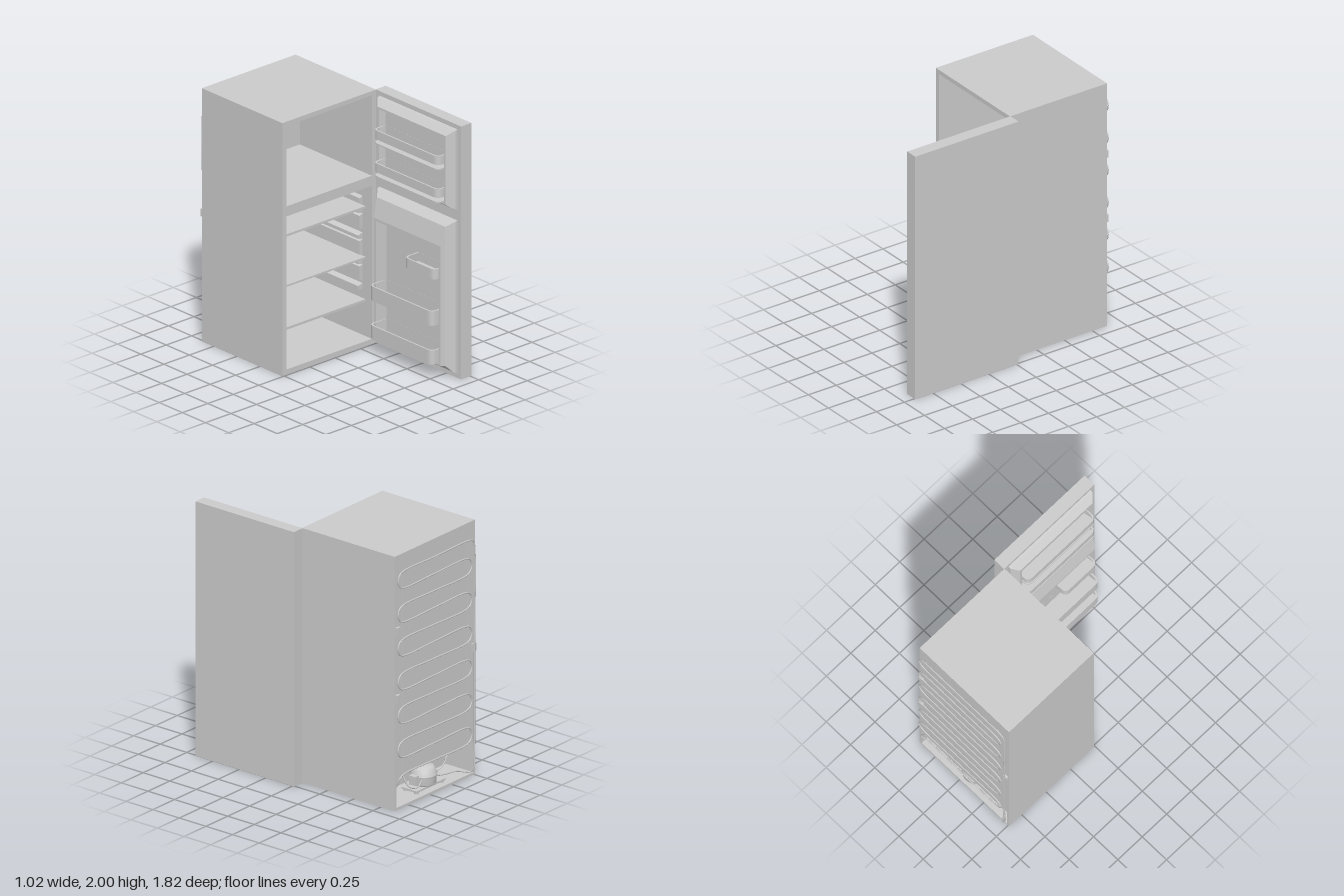
import * as THREE from 'three';

const grey = new THREE.MeshStandardMaterial({ color: 0xcccccc });
const greyFlat = new THREE.MeshStandardMaterial({ color: 0xcccccc, flatShading: true, side: THREE.DoubleSide });
const v = (x, y, z) => new THREE.Vector3(x, y, z);

function add(parent, name, geometry, material = grey) {
  const mesh = new THREE.Mesh(geometry, material);
  mesh.name = name;
  parent.add(mesh);
  return mesh;
}

// box given by its two extreme corners
function box(parent, name, x0, x1, y0, y1, z0, z1) {
  const g = new THREE.BoxGeometry(x1 - x0, y1 - y0, z1 - z0);
  g.translate((x0 + x1) / 2, (y0 + y1) / 2, (z0 + z1) / 2);
  return add(parent, name, g);
}

const polygon = (pts) => new THREE.Shape(pts.map(([a, b]) => new THREE.Vector2(a, b)));
const extrude = (shape, depth) => new THREE.ExtrudeGeometry(shape, { depth, bevelEnabled: false, curveSegments: 8 });

// (z, y) profile swept across x
function sweepX(parent, name, pts, x0, x1) {
  const g = extrude(polygon(pts), x1 - x0);
  g.rotateY(-Math.PI / 2).translate(x1, 0, 0);
  return add(parent, name, g);
}

// (x, z) outline raised from y0 to y1
function raise(parent, name, shape, y0, y1) {
  const g = extrude(shape, y1 - y0);
  g.rotateX(Math.PI / 2).translate(0, y1, 0);
  return add(parent, name, g);
}

function pipe(parent, name, pts, radius = 0.006, segments = 40) {
  const curve = new THREE.CatmullRomCurve3(pts, false, 'centripetal');
  return add(parent, name, new THREE.TubeGeometry(curve, segments, radius, 6));
}

// rectangular rings [x, y0, y1, z0, z1] joined in order, last one closed
function loftRings(parent, name, rings) {
  const pos = [], idx = [];
  rings.forEach(([x, y0, y1, z0, z1], r) => {
    pos.push(x, y0, z0, x, y0, z1, x, y1, z1, x, y1, z0);
    for (let i = 0; r > 0 && i < 4; i++) {
      const a = (r - 1) * 4 + i, b = (r - 1) * 4 + (i + 1) % 4;
      idx.push(a, b, b + 4, a, b + 4, a + 4);
    }
  });
  const n = (rings.length - 1) * 4;
  idx.push(n, n + 1, n + 2, n, n + 2, n + 3);
  const g = new THREE.BufferGeometry();
  g.setAttribute('position', new THREE.Float32BufferAttribute(pos, 3));
  g.setIndex(idx);
  const flat = g.toNonIndexed();
  flat.computeVertexNormals();
  return add(parent, name, flat, greyFlat);
}

// outline of a door tray with two rounded front corners
function trayOutline(Type, x0, x1, z0, z1, r) {
  const s = new Type();
  s.moveTo(x1, z0);
  s.lineTo(x0 + r, z0);
  s.quadraticCurveTo(x0, z0, x0, z0 + r);
  s.lineTo(x0, z1 - r);
  s.quadraticCurveTo(x0, z1, x0 + r, z1);
  s.lineTo(x1, z1);
  s.closePath();
  return s;
}

function doorTray(parent, x0, y0, y1, z0, z1, floorY) {
  const tray = new THREE.Group();
  tray.name = 'doorTray';
  const wall = trayOutline(THREE.Shape, x0, 0.4, z0, z1, 0.05);
  wall.holes.push(trayOutline(THREE.Path, x0 + 0.012, 0.394, z0 + 0.012, z1 - 0.012, 0.042));
  raise(tray, 'trayRail', wall, y0, y1);
  raise(tray, 'trayFloor', trayOutline(THREE.Shape, x0, 0.4, z0, z1, 0.05), floorY, floorY + 0.01);
  parent.add(tray);
}

function buildCabinet() {
  const c = new THREE.Group();
  c.name = 'cabinet';
  box(c, 'rightWall', -0.51, -0.49, 0, 2, -0.88, -0.01);
  box(c, 'leftWall', 0.39, 0.41, 0, 2, -0.88, -0.01);
  box(c, 'roof', -0.49, 0.39, 1.965, 2, -0.88, -0.01);
  box(c, 'base', -0.49, 0.39, 0, 0.02, -0.88, -0.01);
  box(c, 'innerFloor', -0.49, 0.39, 0.02, 0.04, -0.62, -0.01);
  box(c, 'divider', -0.49, 0.39, 1.25, 1.33, -0.8, -0.01);
  // back wall with the step over the machine niche
  sweepX(c, 'backWall', [[-0.88, 0.26], [-0.68, 0.23], [-0.62, 0.17], [-0.62, 0.02], [-0.58, 0.02],
    [-0.58, 0.2], [-0.65, 0.3], [-0.79, 0.3], [-0.79, 1.97], [-0.88, 1.97]], -0.49, 0.39);
  const liner = [[-0.01, 0.02], [-0.6, 0.02], [-0.6, 0.2], [-0.68, 0.27], [-0.8, 0.27], [-0.8, 1.97], [-0.01, 1.97]];
  sweepX(c, 'rightLiner', liner, -0.49, -0.47);
  sweepX(c, 'leftLiner', liner, 0.37, 0.39);

  // shelves, and the runners and ribs on both side walls
  for (const [y0, y1] of [[1.05, 1.068], [0.652, 0.667], [0.313, 0.332]])
    box(c, 'shelf', -0.47, 0.37, y0, y1, -0.78, -0.08);
  const bumps = [[1.075, 1.14, 0.03], [1.005, 1.05, 0.045], [0.88, 1.0, 0.03], [0.8, 0.85, 0.045],
    [0.67, 0.8, 0.03], [0.6, 0.645, 0.045], [0.47, 0.6, 0.03], [0.4, 0.45, 0.045]];
  for (const [y0, y1, d] of bumps) for (const [x, s] of [[-0.47, 1], [0.37, -1]]) {
    const pts = [[x, y0], [x + s * d, y0 + 0.012], [x + s * d, y1 - 0.012], [x, y1]];
    const g = extrude(polygon(pts), 0.64);
    g.translate(0, 0, -0.75);
    add(c, 'shelfRunner', g);
  }

  // air duct and thermostat knob in the upper compartment
  const duct = extrude(polygon([[-0.135, 1.33], [0.035, 1.33], [0.035, 1.675], [0.155, 1.72], [0.155, 1.955],
    [-0.255, 1.955], [-0.255, 1.72], [-0.135, 1.675]]), 0.05);
  duct.translate(0, 0, -0.8);
  add(c, 'airDuct', duct);
  const knob = new THREE.Group();
  knob.name = 'thermostatKnob';
  const dial = new THREE.CylinderGeometry(0.046, 0.052, 0.025, 28).rotateX(Math.PI / 2);
  add(knob, 'knobDial', dial);
  const grip = new THREE.BoxGeometry(0.014, 0.09, 0.02).rotateZ(0.8).translate(0, 0, 0.018);
  add(knob, 'knobGrip', grip);
  knob.position.set(-0.05, 1.592, -0.74);
  c.add(knob);
  return c;
}

function buildDoor() {
  const d = new THREE.Group();
  d.name = 'door';
  box(d, 'doorPanel', 0.41, 0.51, 0, 2, -0.015, 0.91);
  loftRings(d, 'lowerDoorLiner', [[0.411, 0.04, 1.245, 0.03, 0.87], [0.39, 0.045, 1.24, 0.03, 0.87],
    [0.37, 0.06, 1.225, 0.05, 0.85], [0.335, 0.1, 1.2, 0.08, 0.82], [0.3, 0.105, 1.05, 0.09, 0.81],
    [0.3, 0.12, 1.03, 0.11, 0.79], [0.395, 0.12, 1.03, 0.12, 0.78]]);
  loftRings(d, 'upperDoorLiner', [[0.411, 1.33, 1.965, 0.03, 0.87], [0.39, 1.335, 1.96, 0.03, 0.87],
    [0.34, 1.37, 1.915, 0.08, 0.82], [0.34, 1.385, 1.9, 0.1, 0.8], [0.395, 1.385, 1.9, 0.11, 0.79]]);
  doorTray(d, 0.28, 1.69, 1.76, 0.1, 0.8, 1.65);
  doorTray(d, 0.28, 1.43, 1.5, 0.1, 0.8, 1.39);
  doorTray(d, 0.255, 0.79, 0.87, 0.46, 0.79, 0.79);
  doorTray(d, 0.23, 0.43, 0.545, 0.11, 0.79, 0.43);
  doorTray(d, 0.23, 0.125, 0.235, 0.11, 0.79, 0.125);
  return d;
}

function buildCooling() {
  const k = new THREE.Group();
  k.name = 'coolingSystem';
  // serpentine condenser on the back
  const z = -0.9, pitch = 0.133, r = pitch / 2, runs = 13;
  const path = [v(-0.48, 0.25, z), v(-0.48, 1, z), v(-0.48, 1.81, z), v(-0.465, 1.855, z), v(-0.42, 1.87, z)];
  for (let i = 0; i < runs; i++) {
    const s = i % 2 ? -1 : 1, y = 1.87 - i * pitch;
    const end = s > 0 ? 0.395 - r : -0.45 + r;
    path.push(v(-0.02, y, z));
    if (i === runs - 1) break;
    for (let a = 0; a <= 4; a++) {
      const t = a * Math.PI / 4;
      path.push(v(end + s * r * Math.sin(t), y - r + r * Math.cos(t), z));
    }
  }
  path.push(v(0.33, 0.272, z), v(0.375, 0.25, z), v(0.38, 0.18, -0.87), v(0.36, 0.12, -0.82));
  pipe(k, 'condenserCoil', path, 0.006, 900);
  // return pipe bending into the niche
  pipe(k, 'returnPipe', [v(-0.48, 0.26, z), v(-0.475, 0.18, -0.9), v(-0.47, 0.06, -0.9), v(-0.46, 0.03, -0.87),
    v(-0.38, 0.05, -0.82), v(-0.25, 0.06, -0.8), v(-0.13, 0.08, -0.78)]);
  for (const x of [-0.41, 0.33]) box(k, 'coilSupport', x - 0.003, x + 0.003, 0.28, 1.87, -0.896, -0.89);
  for (const [x, y] of [[0.385, 1.41], [0.385, 0.88], [-0.485, 1.01]])
    box(k, 'coilBracket', x - 0.018, x + 0.018, y - 0.03, y + 0.03, -0.9, -0.879);

  // compressor on its mounting plate
  const profile = [[0, 0.05], [0.085, 0.05], [0.095, 0.06], [0.095, 0.115], [0.102, 0.118], [0.102, 0.13],
    [0.095, 0.133], [0.09, 0.165], [0.07, 0.188], [0, 0.195]].map(([a, b]) => new THREE.Vector2(a, b));
  add(k, 'compressor', new THREE.LatheGeometry(profile, 28)).position.set(-0.056, 0, -0.77);
  box(k, 'mountingPlate', -0.22, 0.11, 0.035, 0.05, -0.84, -0.7);
  for (const x of [-0.195, 0.085]) for (const fz of [-0.82, -0.72])
    add(k, 'rubberFoot', new THREE.CylinderGeometry(0.018, 0.018, 0.025, 12)).position.set(x, 0.03, fz);
  box(k, 'starterBox', 0.035, 0.075, 0.07, 0.14, -0.8, -0.74);

  // filter dryer and connecting pipes
  add(k, 'filterDryer', new THREE.CylinderGeometry(0.018, 0.018, 0.11, 12)).position.set(0.32, 0.14, -0.8);
  pipe(k, 'dryerPipe', [v(0.36, 0.12, -0.82), v(0.34, 0.06, -0.81), v(0.32, 0.06, -0.8), v(0.32, 0.09, -0.8)]);
  pipe(k, 'suctionPipe', [v(0.03, 0.1, -0.82), v(0.1, 0.08, -0.84), v(0.17, 0.1, -0.82), v(0.19, 0.18, -0.78),
    v(0.19, 0.25, -0.75)]);
  pipe(k, 'dischargePipe', [v(-0.13, 0.11, -0.8), v(-0.2, 0.14, -0.82), v(-0.3, 0.16, -0.78), v(-0.36, 0.12, -0.72),
    v(-0.42, 0.2, -0.74)]);
  return k;
}

export function createModel() {
  const model = new THREE.Group();
  model.name = 'refrigerator';
  model.add(buildCabinet(), buildDoor(), buildCooling());
  return model;
}
